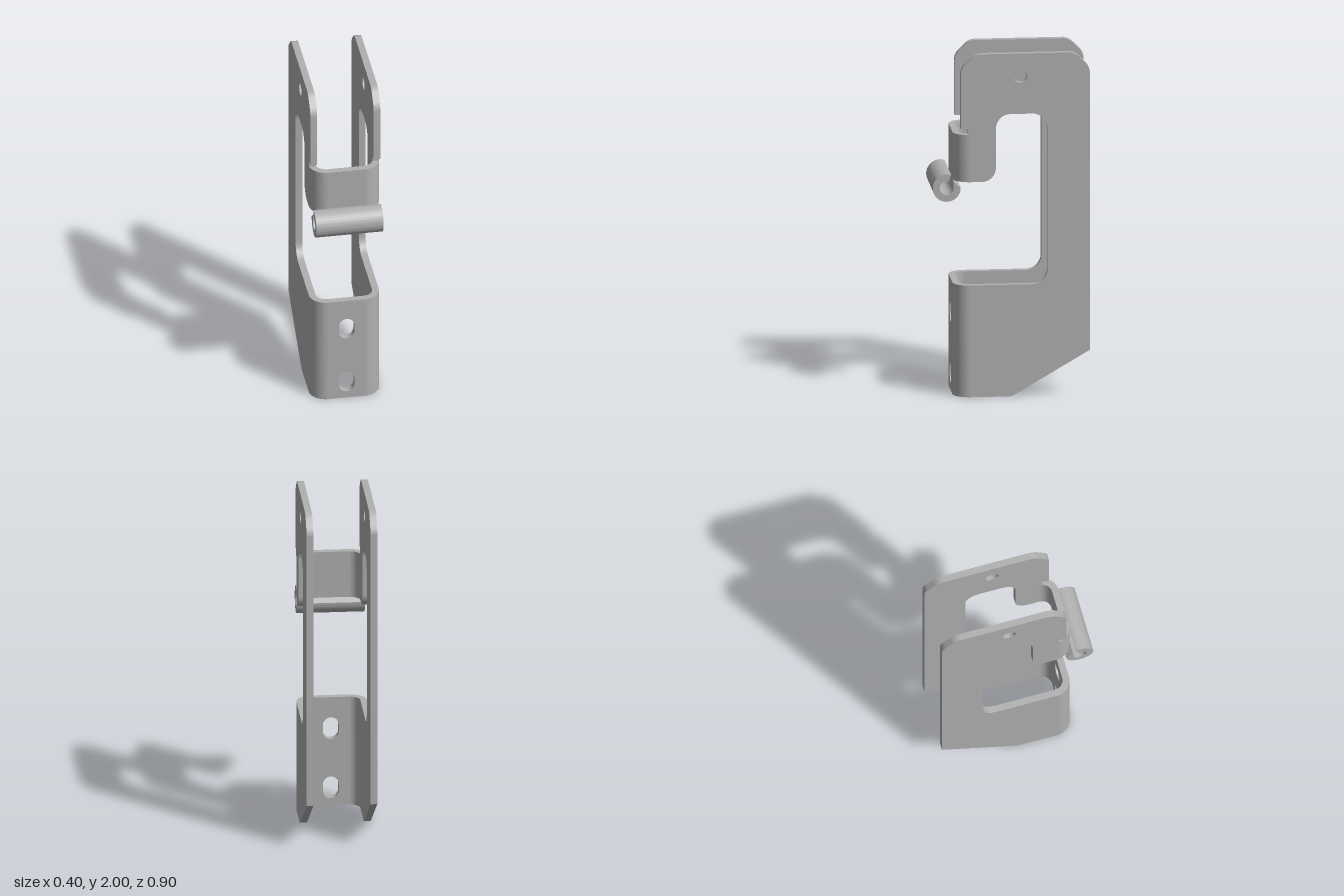
import * as THREE from 'three';
import { toCreasedNormals } from 'three/addons/utils/BufferGeometryUtils.js';

const HALF = 0.202;      // outer half width
const T = 0.039;         // sheet thickness
const FRONT = 0.33;      // outer front face
const R = 0.097;         // outer bend radius
const BX = HALF - R;     // bend centre x
const BZ = FRONT - R;    // bend centre z

const extrude = (shape, depth) =>
  new THREE.ExtrudeGeometry(shape, { depth, bevelEnabled: false, curveSegments: 12 });

// Outline from [x, y, cornerRadius] points, rounding corners that have a radius
function outline(points) {
  const shape = new THREE.Shape();
  const v = points.map(([x, y]) => new THREE.Vector2(x, y));
  const n = v.length;
  points.forEach(([, , r = 0], i) => {
    const p = v[i];
    const toward = (q) => q.clone().sub(p).normalize().multiplyScalar(r).add(p);
    const a = toward(v[(i + n - 1) % n]);
    const b = toward(v[(i + 1) % n]);
    if (i === 0) shape.moveTo(a.x, a.y);
    else shape.lineTo(a.x, a.y);
    if (r) {
      // cubic approximation of a circular fillet
      const c1 = a.clone().lerp(p, 0.552), c2 = b.clone().lerp(p, 0.552);
      shape.bezierCurveTo(c1.x, c1.y, c2.x, c2.y, b.x, b.y);
    }
  });
  shape.closePath();
  return shape;
}

// Slot with round ends, standing upright
function slot(cy, halfW, halfH) {
  const p = new THREE.Path();
  const s = halfH - halfW;
  p.absarc(0, cy + s, halfW, 0, Math.PI, false);
  p.absarc(0, cy - s, halfW, Math.PI, Math.PI * 2, false);
  p.closePath();
  return p;
}

export function createModel() {
  const model = new THREE.Group();
  model.name = 'bracket';
  const steel = new THREE.MeshStandardMaterial({ color: 0xb0b0b0 });
  steel.name = 'grey steel';

  const add = (name, geometry, parent = model) => {
    const mesh = new THREE.Mesh(toCreasedNormals(geometry, 0.6), steel);
    mesh.name = name;
    parent.add(mesh);
    return mesh;
  };

  // Side plates: profile drawn as (z, y), flipped so the extrusion runs along x
  const profile = [
    [BZ, 0], [0, 0, 0.02], [-0.447, 0.262], [-0.447, 1.915, 0.03], [-0.36, 2, 0.03],
    [0.205, 2, 0.03], [0.29, 1.915, 0.03], [0.29, 1.565], [0.248, 1.565], [0.248, 1.53],
    [BZ, 1.53], [BZ, 1.255], [0.09, 1.255, 0.08], [0.09, 1.648, 0.085],
    [-0.205, 1.648, 0.085], [-0.205, 0.652, 0.085], [BZ, 0.652],
  ];
  const side = outline(profile.map(([z, y, r]) => [-z, y, r]));
  const pinHole = new THREE.Path();
  pinHole.absarc(0.05, 1.87, 0.04, 0, Math.PI * 2, true);
  side.holes.push(pinHole);
  const sideGeometry = extrude(side, T).rotateY(Math.PI / 2);
  add('leftSidePlate', sideGeometry).position.x = HALF - T;
  add('rightSidePlate', sideGeometry).position.x = -HALF;

  // Front web with a rounded bend on each side
  function frontWrap(name, y0, y1, slots) {
    const group = new THREE.Group();
    group.name = name;
    model.add(group);
    const web = outline([[-BX, y0], [BX, y0], [BX, y1], [-BX, y1]]);
    web.holes.push(...slots);
    add('frontWeb', extrude(web, T).translate(0, 0, FRONT - T), group);
    for (const s of [1, -1]) {
      const bend = new THREE.Shape();
      const a0 = s > 0 ? -Math.PI / 2 : -Math.PI;
      bend.absarc(s * BX, -BZ, R, a0, a0 + Math.PI / 2, false);
      bend.absarc(s * BX, -BZ, R - T, a0 + Math.PI / 2, a0, true);
      bend.closePath();
      const g = extrude(bend, y1 - y0).rotateX(-Math.PI / 2).translate(0, y0, 0);
      add(s > 0 ? 'leftBend' : 'rightBend', g, group);
    }
  }
  frontWrap('lowerChannel', 0, 0.652, [slot(0.465, 0.045, 0.065), slot(0.108, 0.045, 0.065)]);
  frontWrap('upperBand', 1.255, 1.53, []);

  // Hinge curl: short tab rolled forward into an open tube
  const curl = new THREE.Shape();
  const cx = -0.37, cy = 1.222, end = -Math.PI * 1.6;
  curl.moveTo(cx + 0.08, 1.256);
  curl.absarc(cx, cy, 0.08, 0, end, true);
  curl.absarc(cx, cy, 0.04, end, 0, false);
  curl.lineTo(cx + 0.04, 1.256);
  curl.closePath();
  const curlGeometry = new THREE.ExtrudeGeometry(curl, { depth: 0.388, bevelEnabled: false, curveSegments: 28 });
  add('hingeCurl', curlGeometry.rotateY(Math.PI / 2)).position.x = -0.195;

  return model;
}
